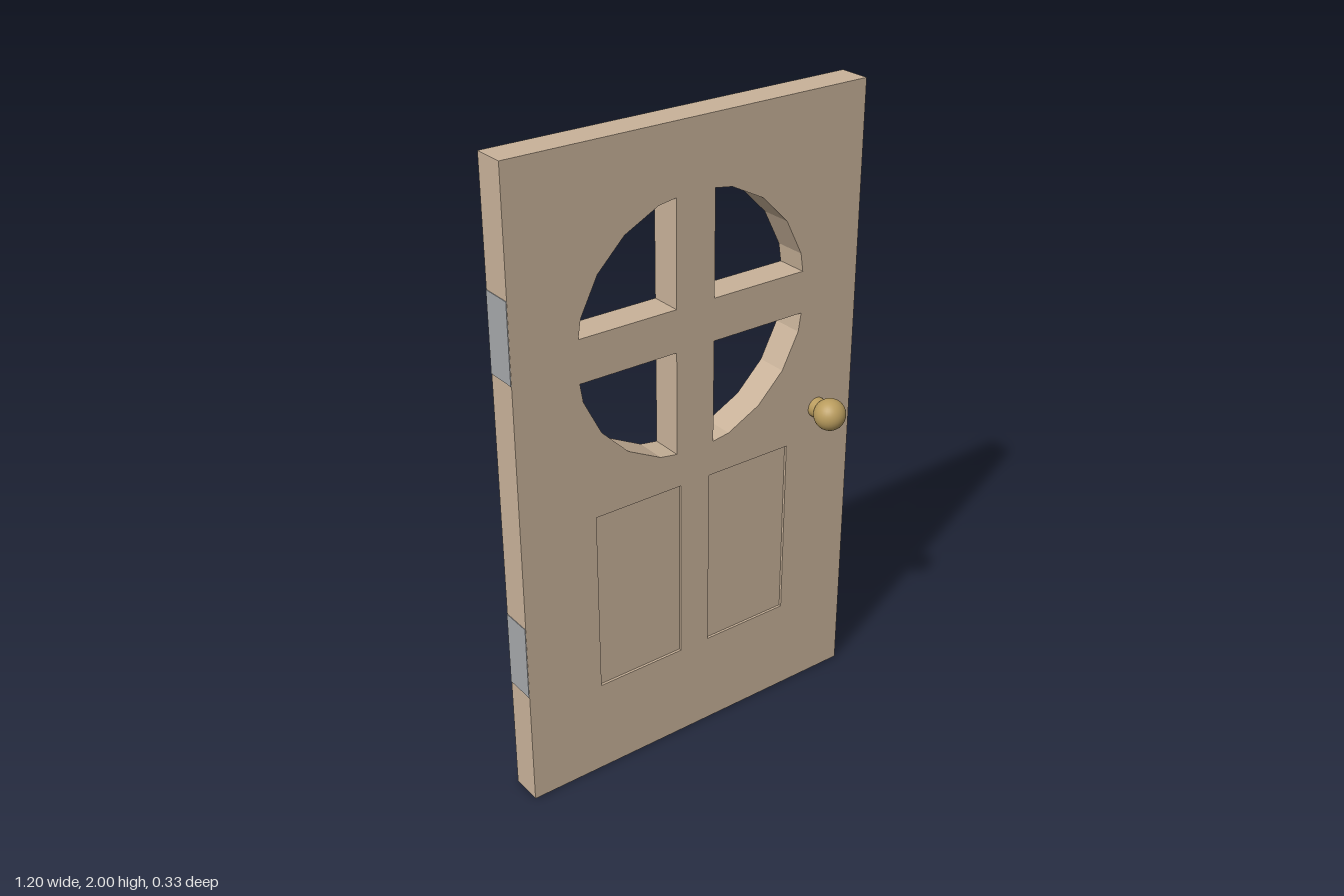
import * as THREE from 'three';

const wood = new THREE.MeshStandardMaterial({ name: 'tan wood', color: 0xc8b299 });
const brass = new THREE.MeshStandardMaterial({ name: 'brass', color: 0xb99c5e });
const steel = new THREE.MeshStandardMaterial({ name: 'hinge grey', color: 0xa6a8aa });

const HALF_W = 0.6, HEIGHT = 2, DEPTH = 0.1;
const WINDOW = { y: 1.4, r: 0.4, bar: 0.066, sides: 20 };
const PANEL = { x0: 0.052, x1: 0.35, y0: 0.31, y1: 0.9 };

const path = (pts) => new THREE.Path(pts.map(([x, y]) => new THREE.Vector2(x, y)));

// One quarter of the faceted round window, mirrored by sx and sy
function windowQuarter(sx, sy) {
  const { y, r, bar, sides } = WINDOW;
  const step = (2 * Math.PI) / sides;
  const end = r * Math.cos(step / 2); // point where the facet next to the axis meets the bar
  const along = (end - bar * Math.sin(step / 2)) / Math.cos(step / 2);
  const pts = [[bar, bar], [along, bar]];
  for (let i = 1; i < sides / 4; i++) pts.push([r * Math.cos(i * step), r * Math.sin(i * step)]);
  pts.push([bar, along]);
  return path(pts.map(([px, py]) => [sx * px, y + sy * py]));
}

function add(group, name, geometry, material, x = 0, y = 0, z = 0) {
  const mesh = new THREE.Mesh(geometry, material);
  mesh.name = name;
  mesh.position.set(x, y, z);
  group.add(mesh);
  return mesh;
}

export function createModel() {
  const door = new THREE.Group();
  door.name = 'door';

  // Door slab with four window openings and two panel openings
  const slab = new THREE.Shape([
    new THREE.Vector2(-HALF_W, 0), new THREE.Vector2(HALF_W, 0),
    new THREE.Vector2(HALF_W, HEIGHT), new THREE.Vector2(-HALF_W, HEIGHT),
  ]);
  const { x0, x1, y0, y1 } = PANEL;
  for (const sx of [-1, 1]) {
    for (const sy of [-1, 1]) slab.holes.push(windowQuarter(sx, sy));
    slab.holes.push(path([[sx * x0, y0], [sx * x1, y0], [sx * x1, y1], [sx * x0, y1]]));
  }
  const slabGeo = new THREE.ExtrudeGeometry(slab, { depth: DEPTH, bevelEnabled: false });
  add(door, 'doorSlab', slabGeo, wood, 0, 0, -DEPTH / 2);

  // Lower panels, set shallow at the front and deeper at the back
  const front = 0.042, back = -0.02;
  for (const [side, sx] of [['left', 1], ['right', -1]]) {
    add(door, side + 'Panel', new THREE.BoxGeometry(x1 - x0, y1 - y0, front - back), wood,
      sx * (x0 + x1) / 2, (y0 + y1) / 2, (front + back) / 2);
  }

  // Knob and stem on each face
  for (const [side, z] of [['front', 0.113], ['back', -0.119]]) {
    const handle = new THREE.Group();
    handle.name = side + 'Handle';
    handle.position.set(0.465, 1, 0);
    add(handle, 'knob', new THREE.SphereGeometry(0.05, 32, 20), brass, 0, 0, z);
    const stem = add(handle, 'stem', new THREE.CylinderGeometry(0.032, 0.032, 0.06, 28), brass,
      0, 0, Math.sign(z) * 0.06);
    stem.rotation.x = Math.PI / 2;
    door.add(handle);
  }

  // Hinge plates on the right edge
  for (const [name, y] of [['upperHinge', 1.51], ['lowerHinge', 0.5]]) {
    add(door, name, new THREE.BoxGeometry(0.004, 0.24, DEPTH - 0.002), steel, -HALF_W, y, 0);
  }
  return door;
}
